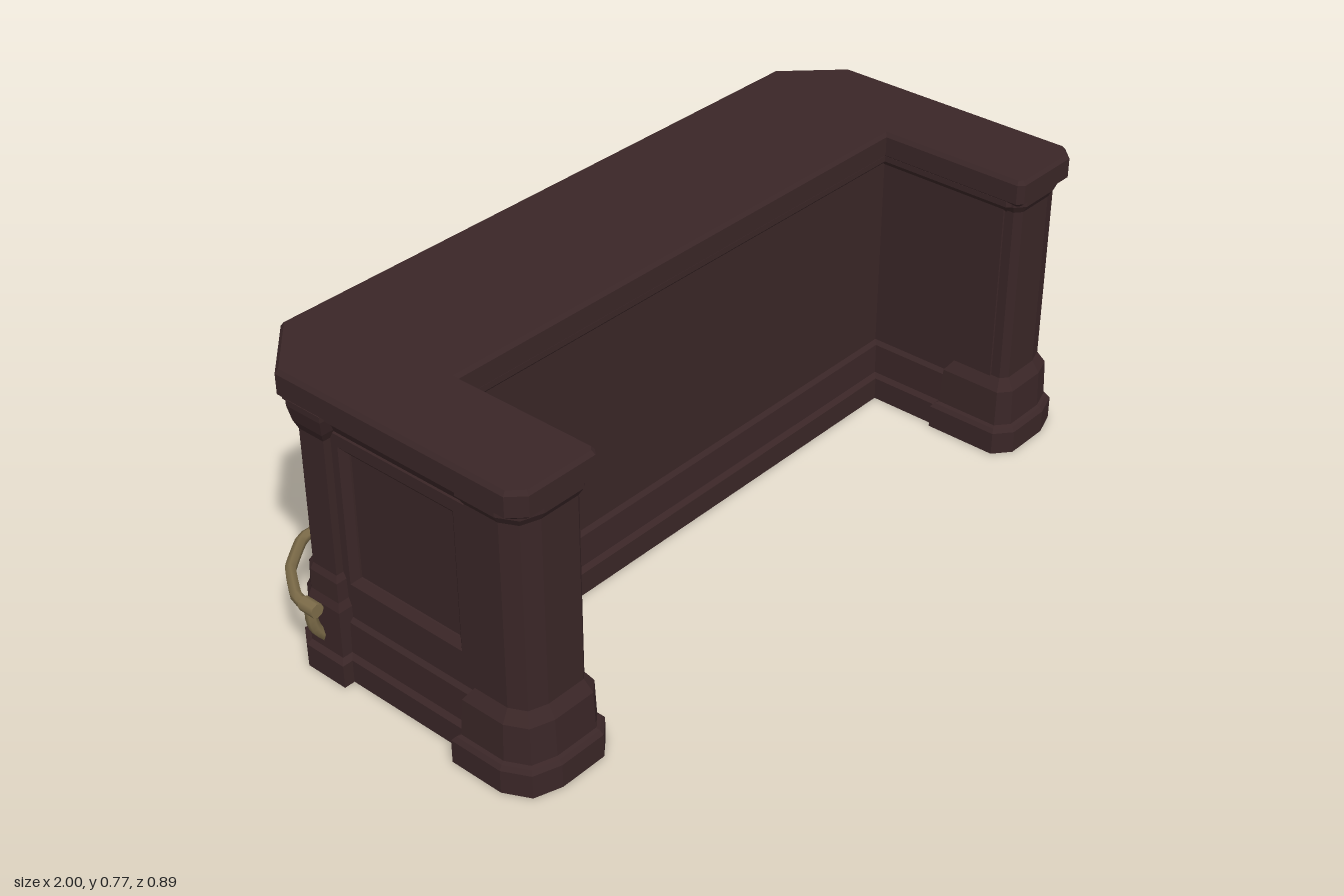
import * as THREE from 'three';

const wood = new THREE.MeshStandardMaterial({ color: 0x3a2627 });
wood.name = 'dark wood';
const brass = new THREE.MeshStandardMaterial({ color: 0x7d6c49 });
brass.name = 'aged brass';

// Grow a counter-clockwise plan outline by d with mitred corners
function offset(plan, d) {
  const n = plan.length;
  const normal = (a, b) => new THREE.Vector2(b.y - a.y, a.x - b.x).normalize();
  return plan.map((p, i) => {
    const m = normal(plan[(i + n - 1) % n], p);
    const k = normal(p, plan[(i + 1) % n]);
    return p.clone().addScaledVector(m.clone().add(k), d / (1 + m.dot(k)));
  });
}

// Stack a plan outline [x, z] through a moulding profile of [y, offset]
function moulding(name, outline, profile) {
  const plan = outline.map(([x, z]) => new THREE.Vector2(x, z));
  if (THREE.ShapeUtils.area(plan) < 0) plan.reverse();
  const n = plan.length;
  const pos = [];
  const rings = profile.map(([y, d]) => offset(plan, d).map((p) => [p.x, y, p.y]));
  const tri = (a, b, c) => pos.push(...a, ...b, ...c);
  for (let r = 0; r + 1 < rings.length; r++) {
    for (let i = 0; i < n; i++) {
      const j = (i + 1) % n;
      tri(rings[r][i], rings[r + 1][i], rings[r][j]);
      tri(rings[r][j], rings[r + 1][i], rings[r + 1][j]);
    }
  }
  const low = rings[0], high = rings[rings.length - 1];
  for (const [a, b, c] of THREE.ShapeUtils.triangulateShape(plan, [])) {
    tri(low[a], low[b], low[c]);
    tri(high[a], high[c], high[b]);
  }
  const geo = new THREE.BufferGeometry();
  geo.setAttribute('position', new THREE.Float32BufferAttribute(pos, 3));
  geo.computeVertexNormals();
  const mesh = new THREE.Mesh(geo, wood);
  mesh.name = name;
  return mesh;
}

// U-shaped plan with clipped back corners and softened front ends
function uPlan({ ox, bz, ix, iz, fz, cx, cz, soft = 0.03 }) {
  const half = [
    [cx, bz], [ox, cz], [ox, fz - soft], [ox - soft, fz],
    [ix + soft * 0.4, fz], [ix, fz - soft * 0.4], [ix, iz],
  ];
  return [...half, ...half.map(([x, z]) => [-x, z]).reverse()];
}

// Framed wall with bevelled openings; holes are [u0, u1, v0, v1]
function panelWall(name, u0, u1, holes, bevel = 0.018) {
  const rect = (T, a, b, c, d) => new T([[a, c], [b, c], [b, d], [a, d]].map(([x, y]) => new THREE.Vector2(x, y)));
  const shape = rect(THREE.Shape, u0, u1, 0.1, 0.64);
  for (const h of holes) shape.holes.push(rect(THREE.Path, ...h));
  const geo = new THREE.ExtrudeGeometry(shape, {
    depth: 0.005, bevelThickness: 0.015, bevelSize: bevel, bevelSegments: 1,
  });
  const mesh = new THREE.Mesh(geo, wood);
  mesh.name = name;
  return mesh;
}

function tube(name, points, radius, segments, tension) {
  const curve = new THREE.CatmullRomCurve3(points.map((p) => new THREE.Vector3(...p)), false, 'catmullrom', tension);
  const mesh = new THREE.Mesh(new THREE.TubeGeometry(curve, segments, radius, 6), brass);
  mesh.name = name;
  return mesh;
}

// Bracket from the rail curling down into the pilaster foot, facing local +z
function bracket(name) {
  const g = new THREE.Group();
  g.name = name;
  g.add(tube('bracketArm', [[0, 0.19, 0], [0, 0.155, 0], [0, 0.12, -0.012], [0, 0.085, -0.04]], 0.014, 8, 0.5));
  const collar = new THREE.Mesh(new THREE.CylinderGeometry(0.018, 0.018, 0.045, 8), brass);
  collar.name = 'railCollar';
  collar.rotation.z = Math.PI / 2;
  collar.position.y = 0.19;
  g.add(collar);
  return g;
}

export function createModel() {
  const model = new THREE.Group();
  model.name = 'barCounter';

  // Carcass, plinth, cornice and top
  const wall = { ox: 0.92, bz: -0.365, ix: 0.755, iz: 0, fz: 0.37, cx: 0.81, cz: -0.27 };
  model.add(moulding('carcass',
    uPlan({ ...wall, ox: 0.9, bz: -0.345, cx: 0.8, cz: -0.26 }), [[0.02, 0], [0.71, 0]]));
  model.add(moulding('plinth', uPlan(wall),
    [[0, 0.025], [0.06, 0.025], [0.07, 0.013], [0.15, 0.01], [0.165, -0.005]]));
  model.add(moulding('cornice', uPlan({ ...wall, ix: 0.765, iz: -0.015, fz: 0.375 }),
    [[0.64, -0.005], [0.67, 0.01], [0.69, 0.03], [0.705, 0.03]]));
  model.add(moulding('counterTop',
    uPlan({ ox: 0.965, bz: -0.418, ix: 0.73, iz: 0.02, fz: 0.42, cx: 0.83, cz: -0.28, soft: 0.035 }),
    [[0.695, -0.018], [0.71, 0], [0.76, 0], [0.77, -0.008]]));

  // Three panels along the back
  const back = panelWall('backPanels', -0.76, 0.76,
    [[-0.66, -0.35, 0.25, 0.61], [-0.24, 0.24, 0.25, 0.61], [0.35, 0.66, 0.25, 0.61]]);
  back.rotation.y = Math.PI;
  back.position.z = -0.345;
  model.add(back);

  for (const s of [1, -1]) {
    const side = s > 0 ? 'left' : 'right';
    const flip = (pts) => pts.map(([x, z]) => [s * x, z]);

    // Side panel
    const [u0, u1] = s > 0 ? [-0.27, 0.2] : [-0.2, 0.27];
    const [h0, h1] = s > 0 ? [-0.19, 0.155] : [-0.155, 0.19];
    const sideWall = panelWall(side + 'SidePanel', u0, u1, [[h0, h1, 0.25, 0.61]]);
    sideWall.rotation.y = s * Math.PI / 2;
    sideWall.position.x = s * 0.9;
    model.add(sideWall);

    // Narrow panel across the clipped corner
    const corner = panelWall(side + 'CornerPanel', -0.055, 0.055, [[-0.033, 0.033, 0.28, 0.61]], 0.012);
    corner.rotation.y = Math.atan2(s * 0.085, -0.1);
    corner.position.set(s * 0.85, 0, -0.3025);
    model.add(corner);

    // Pilaster at the open end
    model.add(moulding(side + 'EndPilaster',
      flip([[0.757, 0.25], [0.945, 0.25], [0.945, 0.345], [0.925, 0.385], [0.88, 0.4], [0.775, 0.4], [0.757, 0.385]]),
      [[0, 0.04], [0.06, 0.04], [0.07, 0.032], [0.075, 0.024], [0.17, 0.02], [0.2, 0], [0.67, 0], [0.69, 0.012], [0.705, 0.012]]));

    // Pair of pilasters flanking the corner
    const profile = [[0, 0.033], [0.06, 0.033], [0.07, 0.02], [0.19, 0.018], [0.21, 0.01],
      [0.26, 0.008], [0.275, 0], [0.625, 0], [0.65, 0.012], [0.69, 0.022], [0.705, 0.022]];
    model.add(moulding(side + 'CornerPilasterSide',
      flip([[0.94, -0.175], [0.94, -0.25], [0.925, -0.27], [0.88, -0.25], [0.88, -0.175]]), profile));
    model.add(moulding(side + 'CornerPilasterBack',
      flip([[0.7, -0.378], [0.8, -0.378], [0.825, -0.362], [0.8, -0.32], [0.7, -0.32]]), profile));

    // Rail brackets
    const sideBracket = bracket(side + 'SideBracket');
    sideBracket.rotation.y = s * Math.PI / 2;
    sideBracket.position.set(s * 0.982, 0, -0.222);
    const backBracket = bracket(side + 'BackBracket');
    backBracket.rotation.y = Math.PI;
    backBracket.position.set(s * 0.77, 0, -0.428);
    model.add(sideBracket, backBracket);
  }

  // Foot rail wrapping the back and both corners
  const half = [[0.982, -0.205], [0.98, -0.27], [0.92, -0.36], [0.83, -0.425], [0.76, -0.428]];
  const path = [...half, ...half.map(([x, z]) => [-x, z]).reverse()];
  model.add(tube('footRail', path.map(([x, z]) => [x, 0.19, z]), 0.014, 90, 0.15));

  return model;
}
